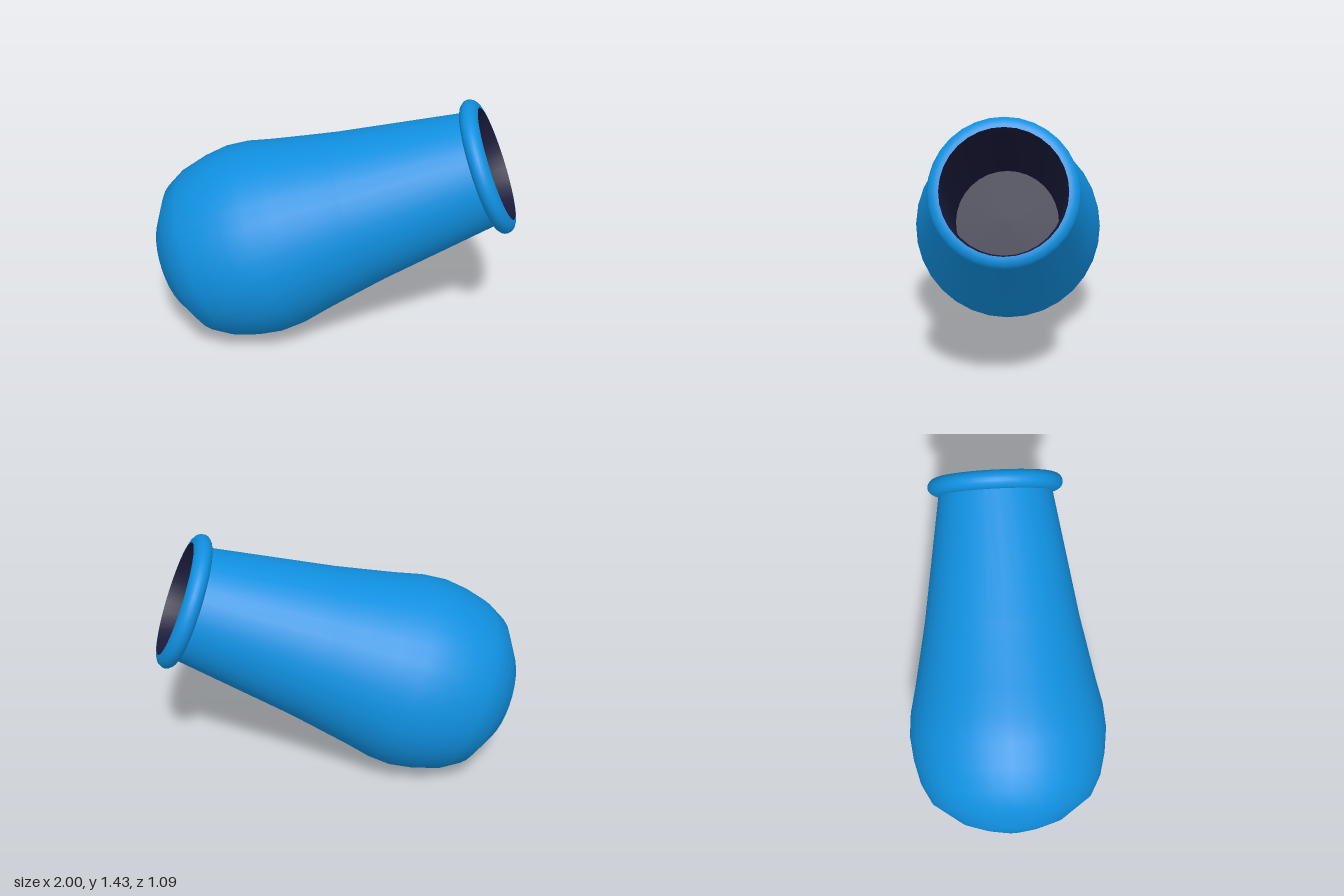
import * as THREE from 'three';

const SEGMENTS = 32;

// Revolve [radius, distance along the barrel axis] pairs
function turned(name, profile, material) {
  const points = profile.map(([r, t]) => new THREE.Vector2(r, t));
  const mesh = new THREE.Mesh(new THREE.LatheGeometry(points, SEGMENTS), material);
  mesh.name = name;
  return mesh;
}

export function createModel() {
  const blue = new THREE.MeshStandardMaterial({ color: 0x1090e0 });
  const dark = new THREE.MeshStandardMaterial({ color: 0x1a1a3a });

  // Everything is turned about one axis; the origin is the rim's centre
  const barrel = new THREE.Group();
  barrel.name = 'barrel';

  // Bulbous shell with a rounded back, tapering to the muzzle
  barrel.add(turned('shell', [
    [0, -1.935], [0.06, -1.932], [0.17, -1.905], [0.287, -1.862], [0.444, -1.743],
    [0.502, -1.63], [0.532, -1.505], [0.547, -1.37], [0.535, -1.24], [0.502, -1.1],
    [0.465, -0.92], [0.428, -0.735], [0.315, -0.04],
  ], blue));

  // Rounded muzzle ring
  const ring = [];
  for (let i = 0; i <= 12; i++) {
    const a = -Math.PI / 2 + (i / 12) * Math.PI;
    ring.push([0.315 + 0.06 * Math.cos(a), 0.05 * Math.sin(a)]);
  }
  ring.unshift([0.3, -0.05]);
  barrel.add(turned('muzzleRing', ring, blue));

  // Dark hollow bore, facing inwards, with a closed floor
  barrel.add(turned('bore', [[0.315, 0.05], [0.3, -0.05], [0.3, -1.2]], dark));
  barrel.add(turned('boreFloor', [[0.3, -1.2], [0, -1.2]], dark));

  // Tilt the muzzle up towards +x
  barrel.rotation.z = -THREE.MathUtils.degToRad(67.67);
  barrel.position.set(0.826, 1.086, 0);

  const model = new THREE.Group();
  model.name = 'cannonBarrel';
  model.add(barrel);
  return model;
}
